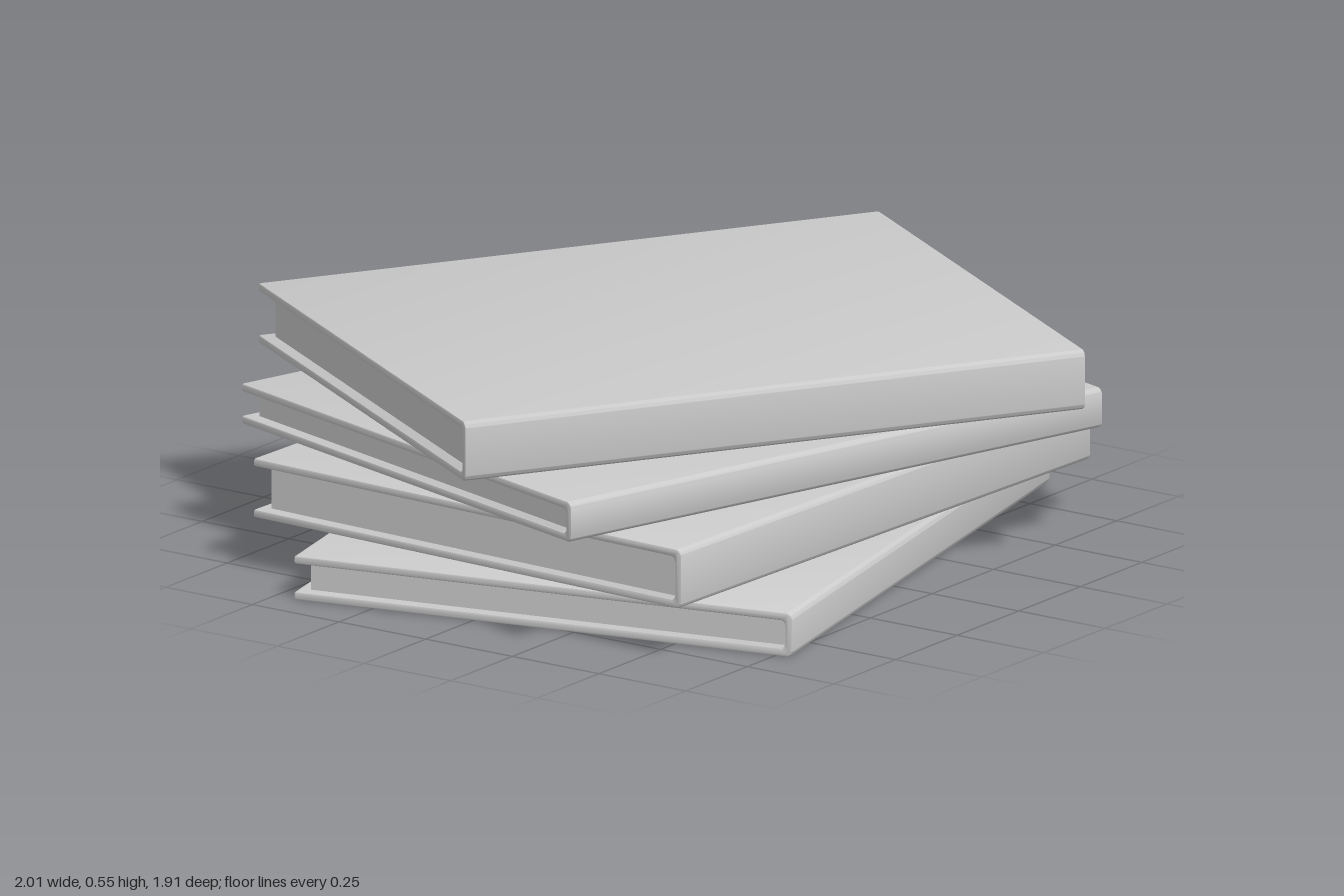
import * as THREE from 'three';
import { toCreasedNormals } from 'three/addons/utils/BufferGeometryUtils.js';

const LENGTH = 1.58, DEPTH = 1.27; // along the spine, spine to fore edge
const BOARD = 0.02;                // cover thickness
const INSET = 0.031;               // pages set back from the cover edges
const BEVEL = 0.005;

const material = new THREE.MeshStandardMaterial({ color: 0xcccccc });

// Cover: a U-shaped section (spine at +u, open at -u) extruded along the spine
function coverGeometry(height) {
  const back = DEPTH / 2, fore = -DEPTH / 2, top = height / 2;
  const inTop = top - BOARD, inBack = back - BOARD;
  const R = 0.018, r = 0.012, tip = 0.007;
  const s = new THREE.Shape();
  s.moveTo(fore + tip, -top);
  s.lineTo(back - R, -top);
  s.absarc(back - R, -top + R, R, -Math.PI / 2, 0, false);
  s.absarc(back - R, top - R, R, 0, Math.PI / 2, false);
  s.lineTo(fore + tip, top);
  s.quadraticCurveTo(fore, top, fore, top - tip);
  s.lineTo(fore, inTop + tip);
  s.quadraticCurveTo(fore, inTop, fore + tip, inTop);
  s.lineTo(inBack - r, inTop);
  s.absarc(inBack - r, inTop - r, r, Math.PI / 2, 0, true);
  s.absarc(inBack - r, -inTop + r, r, 0, -Math.PI / 2, true);
  s.lineTo(fore + tip, -inTop);
  s.quadraticCurveTo(fore, -inTop, fore, -inTop - tip);
  s.lineTo(fore, -top + tip);
  s.quadraticCurveTo(fore, -top, fore + tip, -top);

  const depth = LENGTH - 2 * BEVEL;
  const g = new THREE.ExtrudeGeometry(s, {
    depth, curveSegments: 6, bevelEnabled: true, bevelSegments: 2,
    bevelSize: BEVEL, bevelThickness: BEVEL, bevelOffset: -BEVEL,
  });
  g.translate(0, 0, -depth / 2);
  g.rotateY(-Math.PI / 2); // section u -> +z, extrusion -> x
  return toCreasedNormals(g, 0.7);
}

function makeBook(height) {
  const book = new THREE.Group();
  const cover = new THREE.Mesh(coverGeometry(height), material);
  cover.name = 'cover';

  // Page block, sunk slightly into the boards and spine
  const sink = 0.003;
  const zMin = -DEPTH / 2 + INSET, zMax = DEPTH / 2 - BOARD + sink;
  const pages = new THREE.Mesh(
    new THREE.BoxGeometry(LENGTH - 2 * INSET, height - 2 * BOARD + 2 * sink, zMax - zMin),
    material
  );
  pages.position.z = (zMin + zMax) / 2;
  pages.name = 'pages';
  book.add(cover, pages);
  return book;
}

export function createModel() {
  const stack = new THREE.Group();
  stack.name = 'bookStack';
  // bottom height, top height, turn about y
  const books = [
    [0.0, 0.108, 0.224],
    [0.13, 0.275, -0.038],
    [0.284, 0.383, -0.296],
    [0.405, 0.552, -0.56],
  ];
  books.forEach(([y0, y1, turn], i) => {
    const book = makeBook(y1 - y0);
    book.name = `book${i + 1}`;
    book.position.y = (y0 + y1) / 2;
    book.rotation.y = turn;
    stack.add(book);
  });
  return stack;
}
